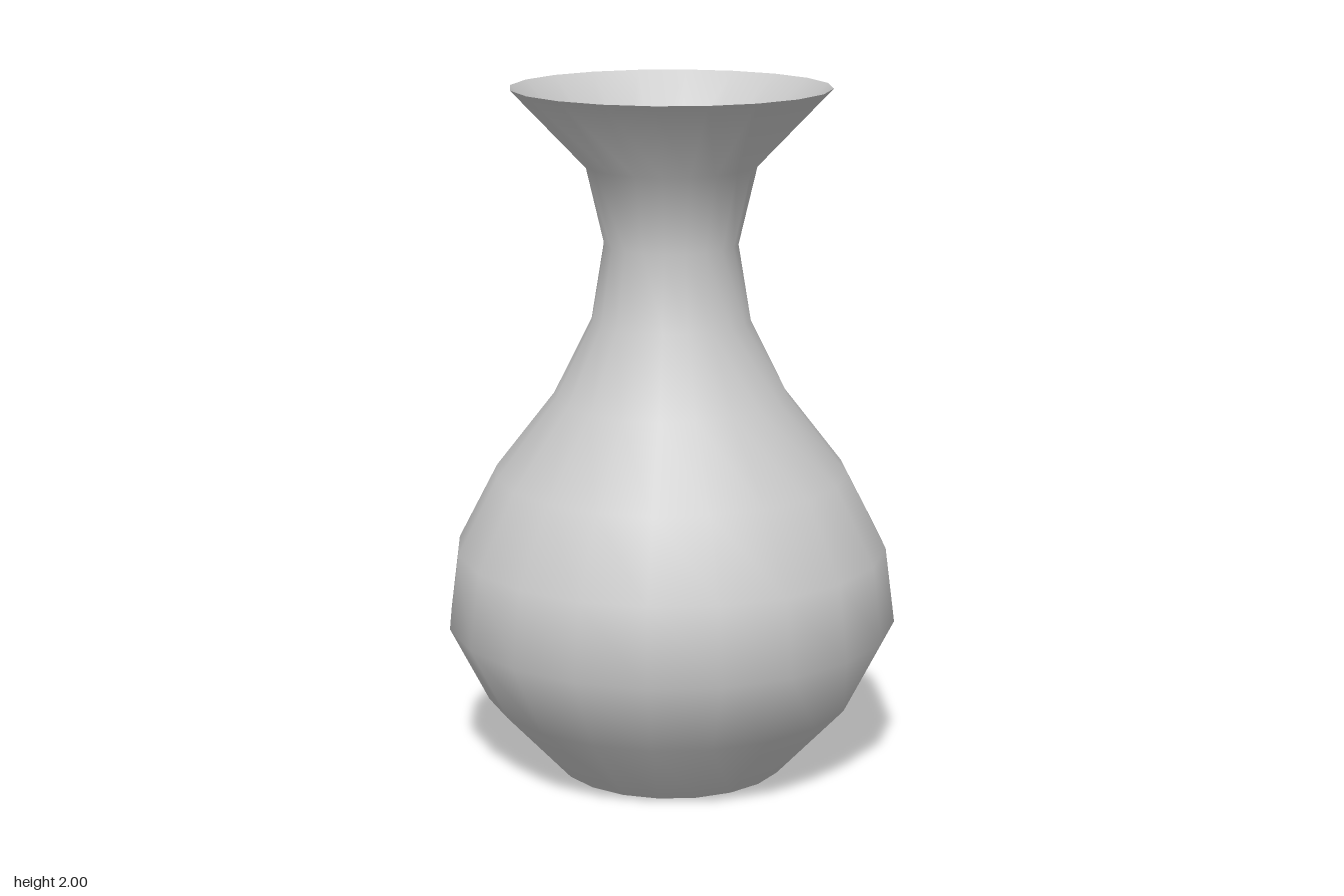
import * as THREE from 'three';

const SIDES = 20;

export function createModel() {
  const group = new THREE.Group();
  group.name = 'vase';
  const material = new THREE.MeshStandardMaterial({ color: 0xcccccc, side: THREE.DoubleSide });

  // Thin turned wall: radii at evenly spaced heights, foot to flared lip
  const radii = [0.34, 0.545, 0.657, 0.628, 0.513, 0.341, 0.23, 0.193, 0.245, 0.457];
  const profile = radii.map((r, i) => new THREE.Vector2(r, (2 * i) / (radii.length - 1)));
  const body = new THREE.Mesh(new THREE.LatheGeometry(profile, SIDES), material);
  body.name = 'body';
  group.add(body);

  // Flat base, facing down
  const baseGeometry = new THREE.CircleGeometry(radii[0], SIDES).rotateX(Math.PI / 2);
  const base = new THREE.Mesh(baseGeometry, material);
  base.name = 'base';
  group.add(base);

  return group;
}
